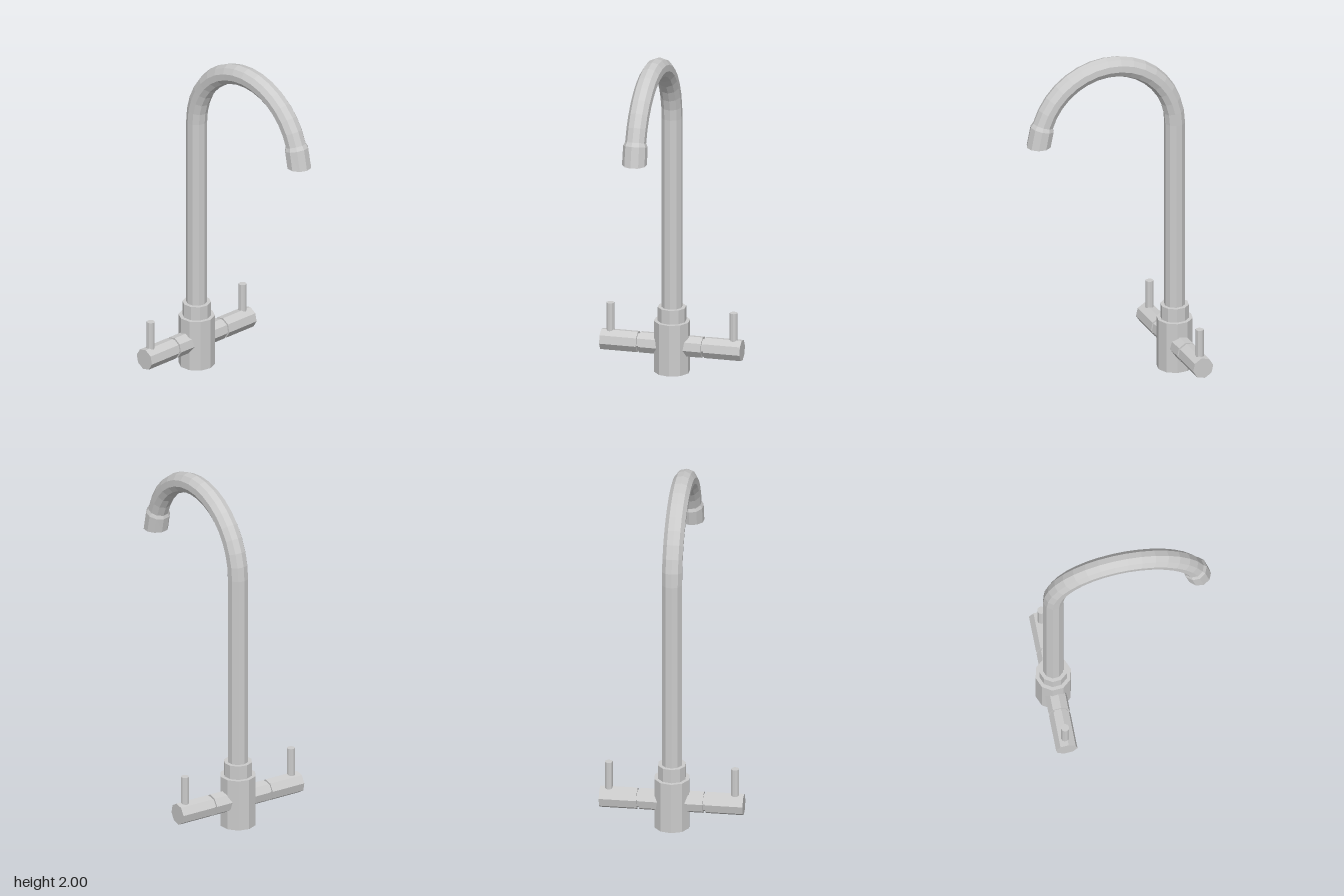
import * as THREE from 'three';

const SIDES = 10;
const TWIST = THREE.MathUtils.degToRad(4.5);
const AXIS_Z = -0.402; // vertical axis of body and pipe

const metal = new THREE.MeshStandardMaterial({ color: 0xcccccc, flatShading: true });

function addMesh(parent, name, geometry, x = 0, y = 0, z = 0) {
  const mesh = new THREE.Mesh(geometry, metal);
  mesh.name = name;
  mesh.position.set(x, y, z);
  parent.add(mesh);
  return mesh;
}

// Upright cylinder on the main axis, from y0 to y1
function upright(parent, name, radius, y0, y1, x = 0) {
  const geo = new THREE.CylinderGeometry(radius, radius, y1 - y0, SIDES, 1, false, TWIST);
  return addMesh(parent, name, geo, x, (y0 + y1) / 2, AXIS_Z);
}

// Horizontal cylinder along x, from x0 to x1
function crosswise(parent, name, radius, x0, x1) {
  const geo = new THREE.CylinderGeometry(radius, radius, Math.abs(x1 - x0), 8, 1, false, THREE.MathUtils.degToRad(10));
  addMesh(parent, name, geo, (x0 + x1) / 2, 0.158, AXIS_Z).rotation.z = -Math.PI / 2;
}

// Skin through rings { y, z, r, a }, where a is how far the ring leans forward
function loft(rings) {
  const pos = [], index = [];
  for (const { y, z, r, a } of rings) {
    for (let i = 0; i < SIDES; i++) {
      const t = TWIST + (i / SIDES) * Math.PI * 2;
      const d = r * Math.cos(t);
      pos.push(r * Math.sin(t), y - d * Math.sin(a), z + d * Math.cos(a));
    }
  }
  for (let k = 0; k < rings.length - 1; k++) {
    for (let i = 0; i < SIDES; i++) {
      const j = (i + 1) % SIDES, p = k * SIDES, q = p + SIDES;
      index.push(p + i, p + j, q + i, p + j, q + j, q + i);
    }
  }
  const geo = new THREE.BufferGeometry();
  geo.setAttribute('position', new THREE.Float32BufferAttribute(pos, 3));
  geo.setIndex(index);
  geo.computeVertexNormals();
  return geo;
}

export function createModel() {
  const model = new THREE.Group();
  model.name = 'mixerTap';

  // Body and collar
  upright(model, 'body', 0.104, 0, 0.305);
  upright(model, 'collar', 0.082, 0.305, 0.388);

  // Gooseneck: straight riser, then an arc over to the front
  const R = 0.416, CY = 1.525, CZ = AXIS_Z + R;
  const onArc = (deg, r) => {
    const a = THREE.MathUtils.degToRad(deg);
    return { y: CY + R * Math.sin(a), z: CZ - R * Math.cos(a), r, a };
  };
  const neck = [{ y: 0.38, z: AXIS_Z, r: 0.06, a: 0 }];
  const STEPS = 16, END = 162.5;
  for (let i = 0; i <= STEPS; i++) neck.push(onArc((END * i) / STEPS, 0.06));
  addMesh(model, 'spout', loft(neck));

  // Nozzle: bevelled shoulder, level open mouth, recessed inside
  const level = (y, z, r) => ({ y, z, r, a: Math.PI });
  addMesh(model, 'nozzle', loft([
    onArc(END, 0.06),
    onArc(165.5, 0.07),
    level(1.525, 0.438, 0.071),
    level(1.525, 0.438, 0.056),
    level(1.595, 0.427, 0.054),
    level(1.595, 0.427, 0),
  ]));

  // Valve arms with grip and lever on both sides
  for (const s of [1, -1]) {
    const valve = new THREE.Group();
    valve.name = s > 0 ? 'leftValve' : 'rightValve';
    crosswise(valve, 'arm', 0.063, s * 0.03, s * 0.183);
    crosswise(valve, 'groove', 0.052, s * 0.18, s * 0.2);
    crosswise(valve, 'grip', 0.063, s * 0.197, s * 0.412);
    upright(valve, 'lever', 0.023, 0.18, 0.38, s * 0.362);
    model.add(valve);
  }
  return model;
}
